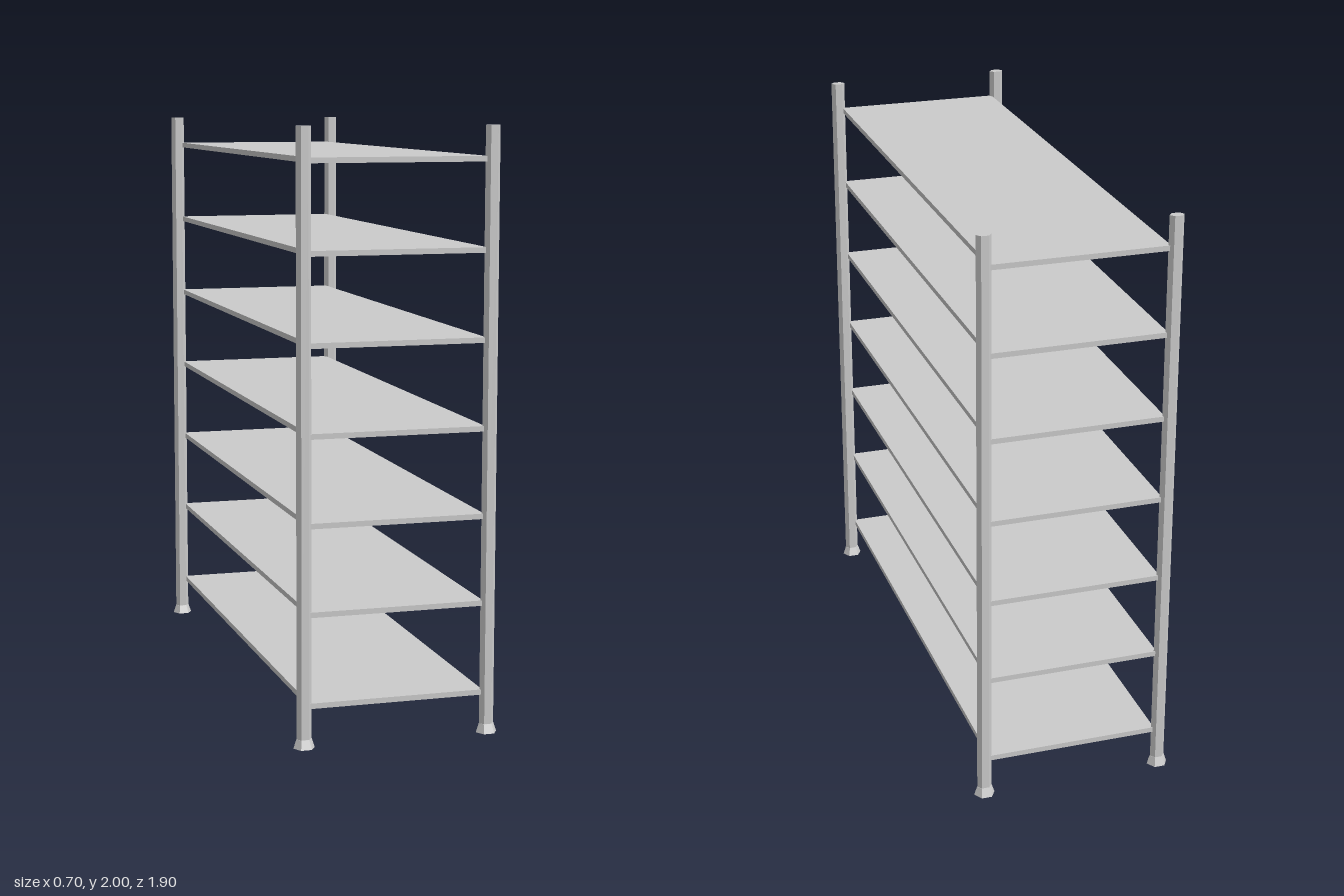
import * as THREE from 'three';

const material = new THREE.MeshStandardMaterial({ color: 0xcccccc, flatShading: true });

// Hexagonal prism with points toward +x and -x; half sizes [x, z] at bottom and top
function hexPrism(y0, y1, bottom, top) {
  const h = y1 - y0;
  const geo = new THREE.CylinderGeometry(1, 1, h, 6, 1, false, Math.PI / 2);
  const pos = geo.attributes.position;
  const apothem = Math.cos(Math.PI / 6);
  for (let i = 0; i < pos.count; i++) {
    const [rx, rz] = pos.getY(i) < 0 ? bottom : top;
    pos.setX(i, pos.getX(i) * rx);
    pos.setZ(i, pos.getZ(i) * rz / apothem);
  }
  geo.translate(0, y0 + h / 2, 0);
  geo.computeVertexNormals();
  return geo;
}

function addMesh(parent, name, geometry) {
  const mesh = new THREE.Mesh(geometry, material);
  mesh.name = name;
  parent.add(mesh);
  return mesh;
}

export function createModel() {
  const group = new THREE.Group();
  group.name = 'shelvingRack';

  // Four corner posts, each on a flared foot
  const postSize = [0.025, 0.016];
  const postGeo = hexPrism(0.03, 2, postSize, postSize);
  const footGeo = hexPrism(0, 0.03, [0.036, 0.03], [0.026, 0.018]);
  for (const sx of [1, -1]) {
    for (const sz of [1, -1]) {
      const corner = new THREE.Group();
      corner.name = (sz > 0 ? 'front' : 'back') + (sx > 0 ? 'Left' : 'Right') + 'Upright';
      corner.position.set(sx * 0.314, 0, sz * 0.921);
      addMesh(corner, 'post', postGeo);
      addMesh(corner, 'foot', footGeo);
      group.add(corner);
    }
  }

  // Seven thin shelves, bottom to top
  const shelfGeo = new THREE.BoxGeometry(0.594, 0.018, 1.852);
  [0.138, 0.44, 0.731, 1.021, 1.311, 1.602, 1.893].forEach((y, i) => {
    addMesh(group, 'shelf' + (i + 1), shelfGeo).position.y = y;
  });

  return group;
}
